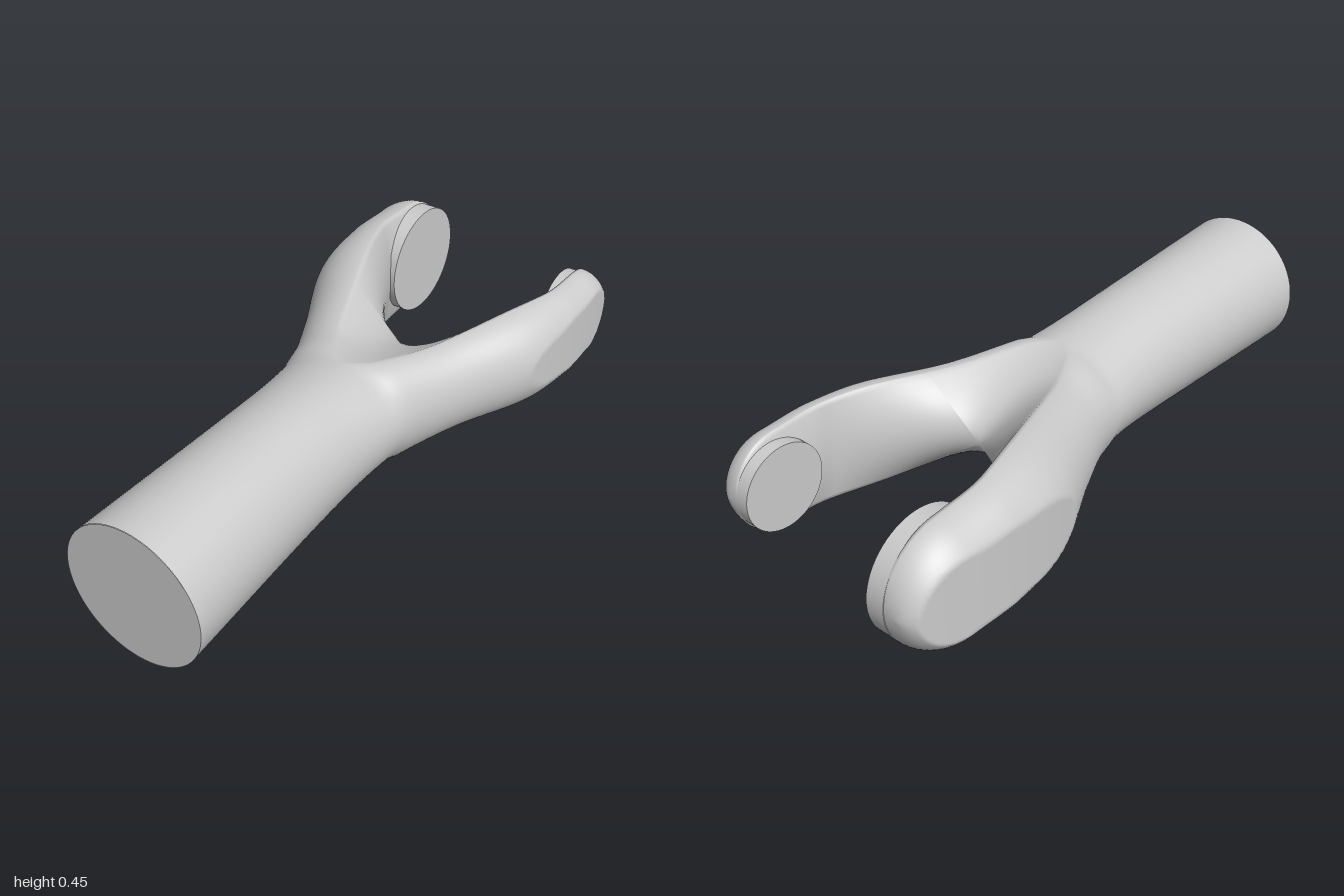
import * as THREE from 'three';
import { mergeGeometries, mergeVertices } from 'three/addons/utils/BufferGeometryUtils.js';

const CX = 0.017, CY = 0.225; // axis of the shank
const CROTCH = -0.31;         // z of the bottom of the fork opening

// Smooth curve through [z, value] pairs listed from front (+z) to back.
function curve(...points) {
  const n = points.length - 1;
  const slope = (i) => {
    const a = points[Math.max(i - 1, 0)], b = points[Math.min(i + 1, n)];
    return (b[1] - a[1]) / (b[0] - a[0]);
  };
  return (z) => {
    if (z >= points[0][0]) return points[0][1];
    if (z <= points[n][0]) return points[n][1];
    const i = points.findIndex((p) => p[0] <= z) - 1;
    const [z0, v0] = points[i], [z1, v1] = points[i + 1];
    const d = z1 - z0, t = (z - z0) / d, t2 = t * t, t3 = t2 * t;
    return v0 * (2 * t3 - 3 * t2 + 1) + v1 * (3 * t2 - 2 * t3)
      + d * (slope(i) * (t3 - 2 * t2 + t) + slope(i + 1) * (t3 - t2));
  };
}

// Distance of the top edge of either arm from the shank axis
const ridgeAt = curve([0.06, 0], [0, 0.07], [-0.3, 0.197], [-0.62, 0.306], [-0.8, 0.315]);

const wideArm = {
  side: -1, bend: 0.48, innerMax: 0.28, face: 0.442, roundZ: -0.8, tip: -0.998, tipWidth: 0.04,
  height: curve([1, 0.225], [0.4, 0.206], [0, 0.173], [-0.1, 0.1635], [-0.5, 0.211], [-0.8, 0.197]),
  outer: curve([1, 0.224], [0.3, 0.213], [0, 0.246], [-0.2, 0.327], [-0.45, 0.45], [-0.65, 0.476]),
  pad: { x: -0.24, z: -0.815, r: 0.185 },
};

const narrowArm = {
  side: 1, bend: 0.52, innerMax: 0.287, face: 0.407, roundZ: -0.79, tip: -0.945, tipWidth: 0.02,
  height: curve([1, 0.225], [0.4, 0.206], [0, 0.173], [-0.2, 0.155], [-0.5, 0.17], [-0.8, 0.157]),
  outer: curve([1, 0.223], [0.3, 0.19], [0, 0.216], [-0.2, 0.288], [-0.45, 0.4], [-0.65, 0.43]),
  pad: { x: 0.285, z: -0.81, r: 0.135 },
};

// Section positions, denser around the crotch and the rounded tip.
function stations(arm) {
  const list = [];
  for (let i = 0; i < 24; i++) list.push(1 - 0.9 * i / 24);
  for (let i = 0; i < 28; i++) list.push(CROTCH + 0.41 * (1 - i / 28) ** 1.6);
  for (let i = 0; i < 44; i++) list.push(CROTCH + (arm.roundZ - CROTCH) * (i / 44) ** 1.8);
  for (let i = 0; i <= 20; i++) {
    list.push(arm.roundZ + (arm.tip - arm.roundZ) * Math.sin(Math.PI / 2 * i / 20));
  }
  return list;
}

// One section: saddle from the centre up to the ridge, then the outer curve, mirrored below.
function section(arm, z) {
  const t = Math.min(1, Math.max(0, (z - arm.roundZ) / (arm.tip - arm.roundZ)));
  const round = Math.sqrt(1 - t * t);
  const h = arm.height(z) * round;
  const ridge = ridgeAt(z);
  const inner = Math.min(arm.innerMax, arm.bend * Math.sqrt(Math.max(0, CROTCH - z)));
  const saddle = z >= 0.06 ? h : Math.min(h, Math.sqrt(Math.max(0, z - CROTCH) / 11.2));
  const width = arm.tipWidth + (arm.outer(z) - ridge - arm.tipWidth) * round;
  // Slightly bowed flat on the outside of the arm
  const limit = z < -0.2 ? arm.face - 0.3 * (z + 0.67) ** 2 : Infinity;
  const top = [];
  for (let i = 0; i < 12; i++) {
    const s2 = (i / 12) ** 2;
    top.push([Math.sqrt(inner ** 2 + (ridge ** 2 - inner ** 2) * s2),
      Math.sqrt(saddle ** 2 + (h ** 2 - saddle ** 2) * s2)]);
  }
  for (let i = 0; i <= 24; i++) {
    const a = Math.PI / 2 * i / 24;
    top.push([Math.min(limit, ridge + width * Math.sin(a)), h * Math.cos(a)]);
  }
  const bottom = top.slice(0, -1).reverse().map(([x, y]) => [x, -y]);
  return top.concat(bottom);
}

// Half of the shank together with its arm.
function halfBody(arm) {
  const rings = stations(arm).map((z) => section(arm, z).map(([x, y]) => [CX + arm.side * x, CY + y, z]));
  const count = rings[0].length;
  const index = [];
  for (let i = 0; i < rings.length - 1; i++) {
    for (let j = 0; j < count - 1; j++) {
      const a = i * count + j, b = a + 1, c = a + count, d = c + 1;
      if (arm.side > 0) index.push(a, b, c, b, d, c);
      else index.push(a, c, b, b, c, d);
    }
  }
  const geometry = new THREE.BufferGeometry();
  geometry.setAttribute('position', new THREE.Float32BufferAttribute(rings.flat(2), 3));
  geometry.setIndex(index);
  return geometry;
}

export function createModel() {
  const model = new THREE.Group();
  model.name = 'forkedYoke';
  const material = new THREE.MeshStandardMaterial({ color: 0xcccccc, side: THREE.DoubleSide });
  const add = (name, geometry) => {
    const mesh = new THREE.Mesh(geometry, material);
    mesh.name = name;
    model.add(mesh);
    return mesh;
  };

  // Shank and both arms welded into one smooth skin
  const body = mergeVertices(mergeGeometries([wideArm, narrowArm].map(halfBody)), 1e-5);
  body.computeVertexNormals();
  add('forkBody', body);

  // Flat front end of the shank
  add('shankEnd', new THREE.CircleGeometry(0.2235, 96)).position.set(CX, CY, 1);

  // Round pads on the inner faces of the arms
  for (const { side, pad } of [wideArm, narrowArm]) {
    const depth = 0.06;
    const mesh = add(side < 0 ? 'rightPad' : 'leftPad', new THREE.CylinderGeometry(pad.r, pad.r, depth, 64));
    mesh.rotation.z = Math.PI / 2;
    mesh.position.set(pad.x + side * depth / 2, CY, pad.z);
  }
  return model;
}
